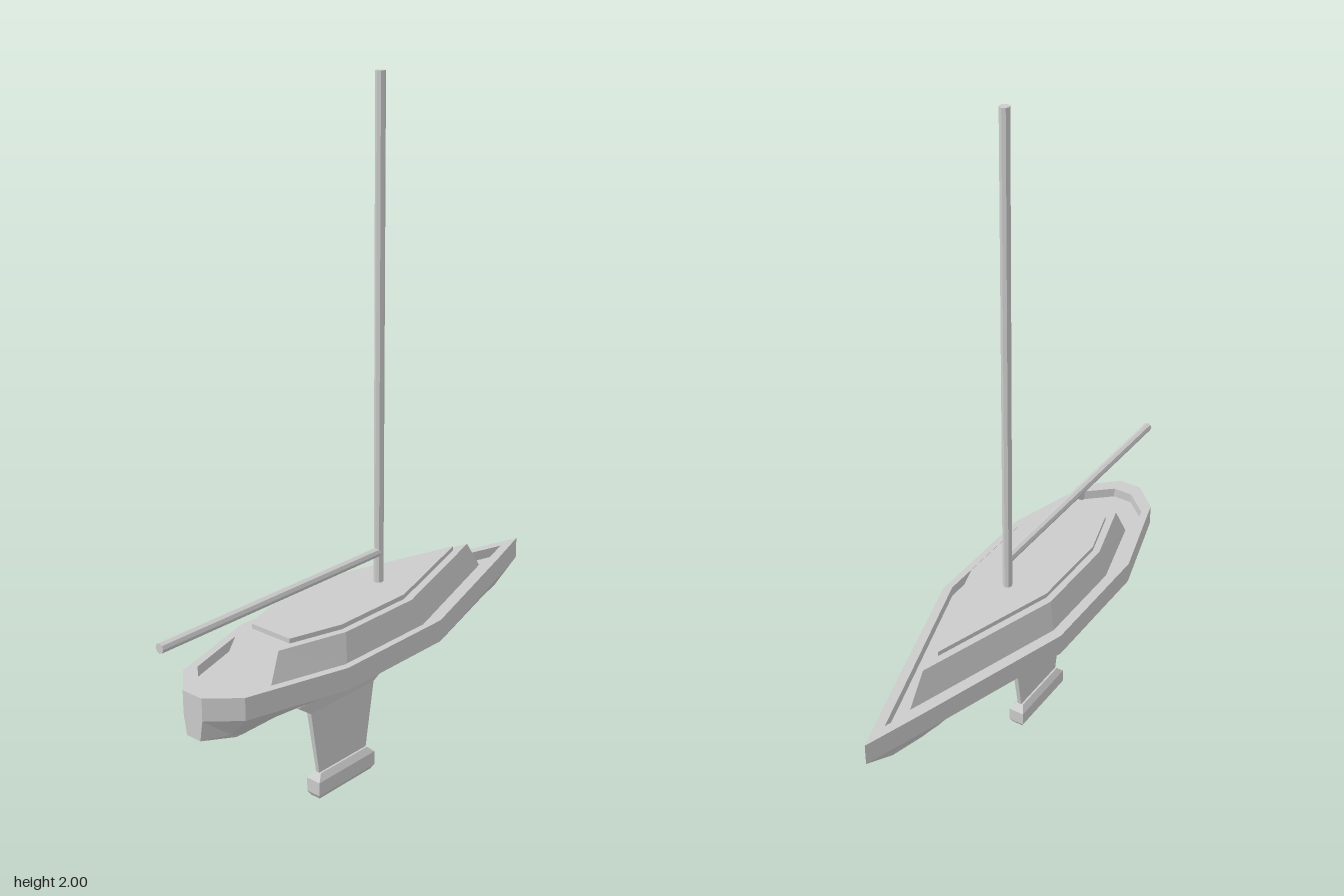
import * as THREE from 'three';

const material = new THREE.MeshStandardMaterial({ color: 0xcccccc, flatShading: true });

// Half outline [x, z] from bow to stern, mirrored into a closed ring at height y.
function ring(y, half) {
  const port = half.filter(([x]) => x !== 0).reverse().map(([x, z]) => [-x, z]);
  return [...half, ...port].map(([x, z]) => new THREE.Vector3(x, y, z));
}

// Skin consecutive rings and close both ends.
function loft(name, sections) {
  const rings = sections.map(([y, half]) => ring(y, half));
  const n = rings[0].length, pos = [];
  const tri = (...pts) => pts.forEach((p) => pos.push(p.x, p.y, p.z));
  for (let k = 0; k < rings.length - 1; k++) {
    const a = rings[k], b = rings[k + 1];
    for (let i = 0; i < n; i++) {
      const j = (i + 1) % n;
      tri(a[i], b[i], b[j]);
      tri(a[i], b[j], a[j]);
    }
  }
  const cap = (r, up) => {
    const c = new THREE.Vector3();
    r.forEach((p) => c.addScaledVector(p, 1 / n));
    for (let i = 0; i < n; i++) {
      const j = (i + 1) % n;
      if (up) tri(c, r[j], r[i]);
      else tri(c, r[i], r[j]);
    }
  };
  cap(rings[0], false);
  cap(rings[rings.length - 1], true);
  const geo = new THREE.BufferGeometry();
  geo.setAttribute('position', new THREE.Float32BufferAttribute(pos, 3));
  geo.computeVertexNormals();
  const mesh = new THREE.Mesh(geo, material);
  mesh.name = name;
  return mesh;
}

function pole(name, length) {
  const mesh = new THREE.Mesh(new THREE.CylinderGeometry(0.014, 0.014, length, 8), material);
  mesh.name = name;
  return mesh;
}

// Rectangular section of half width w between z0 and z1.
const slab = (y, w, z0, z1) => [y, [[w, z0], [w, z1]]];

export function createModel() {
  const boat = new THREE.Group();
  boat.name = 'sailboat';

  // Hull: keel line, bilge, topsides, rim and sunken deck
  const keel = [[0, -0.43], [0.002, -0.4], [0.002, -0.11], [0.002, 0.28], [0.002, 0.47], [0.001, 0.5]];
  const bilge = [[0, -0.64], [0.026, -0.54], [0.1, -0.11], [0.1, 0.28], [0.06, 0.575], [0.025, 0.65]];
  const side = [[0, -0.75], [0.055, -0.58], [0.2, -0.11], [0.2, 0.28], [0.115, 0.575], [0.035, 0.65]];
  const rim = [[0, -0.665], [0.042, -0.53], [0.18, -0.095], [0.18, 0.27], [0.103, 0.535], [0.03, 0.6]];
  boat.add(loft('hull', [
    [0.32, keel], [0.38, bilge], [0.44, side], [0.505, side], [0.505, rim], [0.475, rim],
  ]));

  // Cabin with sloping walls, and the thin roof panel on top
  boat.add(loft('cabin', [
    [0.474, [[0, -0.555], [0.152, -0.07], [0.152, 0.23], [0.09, 0.46]]],
    [0.565, [[0, -0.49], [0.135, -0.06], [0.135, 0.215], [0.078, 0.415]]],
  ]));
  const roof = [[0, -0.42], [0.115, -0.05], [0.115, 0.21], [0.07, 0.365]];
  boat.add(loft('roof', [[0.564, roof], [0.579, roof]]));

  // Keel fin flaring into the hull, with a chamfered ballast bulb
  boat.add(loft('keelFin', [
    slab(0.06, 0.006, -0.01, 0.185),
    slab(0.275, 0.008, -0.045, 0.22),
    slab(0.322, 0.018, -0.11, 0.285),
  ]));
  boat.add(loft('ballastBulb', [
    slab(0, 0.016, -0.022, 0.198),
    slab(0.014, 0.024, -0.031, 0.206),
    slab(0.056, 0.024, -0.031, 0.206),
    slab(0.075, 0.012, -0.012, 0.187),
  ]));

  // Mast and boom
  const mast = pole('mast', 1.43);
  mast.position.set(0, 1.285, -0.075);
  const boom = pole('boom', 0.825);
  boom.rotation.x = Math.PI / 2;
  boom.position.set(0, 0.67, 0.3375);
  boat.add(mast, boom);

  return boat;
}
